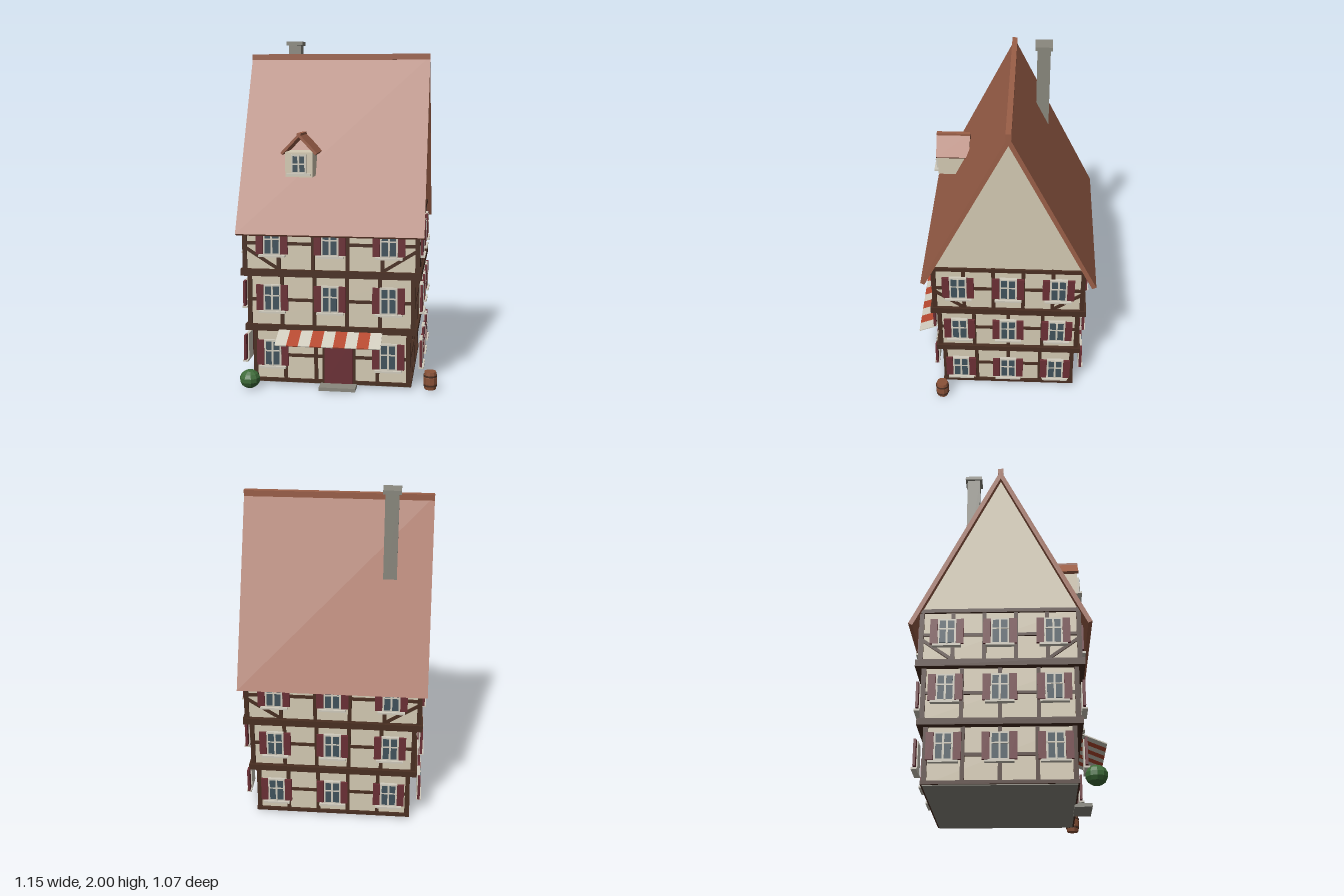
import * as THREE from 'three';

const mat = (name, color, extra = {}) =>
  Object.assign(new THREE.MeshStandardMaterial({ color, ...extra }), { name });

export function createModel() {
  const M = {
    plaster: mat('plaster', 0xd4cab3),
    timber: mat('dark timber', 0x4a2f22),
    tile: mat('roof tile', 0x9b5f48),
    stone: mat('grey stone', 0x8a887e),
    shutter: mat('dark red paint', 0x6b2f35),
    glass: mat('window glass', 0x40525c),
    trim: mat('pale trim', 0xd0cbbd),
    cloth: mat('awning red', 0xb5482f),
    leaf: mat('leaf green', 0x3d6b38, { flatShading: true }),
    barrel: mat('barrel wood', 0x8a5238, { flatShading: true }),
  };
  const model = new THREE.Group();
  model.name = 'timberedHouse';

  const add = (parent, name, geo, material, x = 0, y = 0, z = 0) => {
    const m = new THREE.Mesh(geo, material);
    m.name = name;
    m.position.set(x, y, z);
    parent.add(m);
    return m;
  };
  const box = (parent, name, material, w, h, d, x, y, z) =>
    add(parent, name, new THREE.BoxGeometry(w, h, d), material, x, y, z);
  const group = (parent, name, x = 0, y = 0, z = 0) => {
    const g = new THREE.Group();
    g.name = name;
    g.position.set(x, y, z);
    parent.add(g);
    return g;
  };
  // Extrudes a profile, centred along its depth
  const prism = (points, depth) => {
    const shape = new THREE.Shape(points.map(([x, y]) => new THREE.Vector2(x, y)));
    return new THREE.ExtrudeGeometry(shape, { depth, bevelEnabled: false }).translate(0, 0, -depth / 2);
  };
  // Bent roof slab: outer slope from eave to ridge, with vertical thickness t
  const chevron = (half, eaveY, ridgeY, dx, dy, t) => [
    [half, eaveY], [0, ridgeY], [-half, eaveY], [-half + dx, eaveY - dy], [0, ridgeY - t], [half - dx, eaveY - dy],
  ];

  // Window facing +z with its wall side at z = 0
  const addWindow = (parent, x, y, z, w = 0.1, h = 0.155, shutters = true) => {
    const g = group(parent, 'window', x, y, z);
    box(g, 'windowFrame', M.trim, w, h, 0.018, 0, 0, 0);
    box(g, 'windowGlass', M.glass, w - 0.02, h - 0.02, 0.004, 0, 0, 0.009);
    box(g, 'mullion', M.trim, 0.011, h - 0.01, 0.006, 0, 0, 0.011);
    box(g, 'transom', M.trim, w - 0.01, 0.008, 0.006, 0, shutters ? 0.015 : 0, 0.011);
    box(g, 'windowSill', M.trim, w * 1.55, 0.011, 0.03, 0, -h / 2 - 0.005, 0.007);
    if (shutters) for (const s of [-1, 1])
      box(g, 'shutter', M.shutter, 0.041, 0.148, 0.014, s * (w / 2 + 0.0215), 0.002, 0.005);
  };

  const house = group(model, 'house', -0.04, 0, -0.035);

  // Foundation and jettied storeys
  box(house, 'foundation', M.stone, 0.91, 0.014, 0.8, 0, 0.017, 0);
  const storeys = [
    { hx: 0.46, hz: 0.405, y0: 0.015, y1: 0.335, win: 0.2 },
    { hx: 0.486, hz: 0.424, y0: 0.36, y1: 0.66, win: 0.527 },
    { hx: 0.509, hz: 0.443, y0: 0.685, y1: 1.0, win: 0.855 },
  ];
  const beams = [[0.465, 0.41, 0.025, 0.02], [0.498, 0.438, 0.345, 0.036],
    [0.518, 0.457, 0.673, 0.04], [0.513, 0.447, 0.987, 0.022]];
  for (const [hx, hz, y, h] of beams)
    box(house, 'floorBeam', M.timber, hx * 2, h, hz * 2, 0, y, 0);

  storeys.forEach(({ hx, hz, y0, y1, win }, level) => {
    const h = y1 - y0, mid = (y0 + y1) / 2;
    box(house, 'plasterWall', M.plaster, hx * 2 - 0.02, h, hz * 2 - 0.02, 0, mid, 0);
    for (const sx of [-1, 1]) for (const sz of [-1, 1])
      box(house, 'cornerPost', M.timber, 0.026, h, 0.026, sx * (hx - 0.013), mid, sz * (hz - 0.013));

    // Timber framing and windows of the four sides
    for (let side = 0; side < 4; side++) {
      const wide = side % 2 === 0;
      const half = wide ? hx : hz, depth = wide ? hz : hx;
      const face = group(house, 'facade');
      face.rotation.y = side * Math.PI / 2;
      box(face, 'midRail', M.timber, half * 2 - 0.02, 0.018, 0.016, 0, mid, depth - 0.0095);
      const inner = half - 0.013;
      const bays = Math.round(inner * 2 / 0.19), bay = inner * 2 / bays;
      for (let i = 1; i < bays; i++)
        box(face, 'post', M.timber, 0.022, h, 0.016, -inner + i * bay, mid, depth - 0.009);
      if (level === 2) for (const s of [-1, 1]) {
        const rise = 0.125;
        const brace = box(face, 'brace', M.timber, Math.hypot(bay, rise), 0.018, 0.015,
          s * (inner - bay / 2), 0.755, depth - 0.0085);
        brace.rotation.z = s * Math.atan2(rise, bay);
      }
      const step = wide ? 0.335 : 0.29;
      for (const i of [-1, 0, 1])
        if (!(level === 0 && side === 0 && i === 0))
          addWindow(face, i * step, win, wide ? 0.446 : 0.512);
    }
  });

  // Attic gables, steep roof and ridge cap
  const gable = add(house, 'atticGable', prism([[-0.437, 0.995], [0.437, 0.995], [0, 1.875]], 1.0), M.plaster);
  gable.rotation.y = Math.PI / 2;
  const roof = add(house, 'mainRoof',
    prism(chevron(0.503, 0.903, 1.908, 0.023, 0.012, 0.057), 1.07), M.tile);
  roof.rotation.y = Math.PI / 2;
  box(house, 'ridgeCap', M.tile, 1.07, 0.035, 0.03, 0, 1.9025, 0);

  // Chimney
  box(model, 'chimneyShaft', M.stone, 0.076, 0.62, 0.076, -0.342, 1.67, -0.208);
  box(model, 'chimneyCap', M.stone, 0.1, 0.022, 0.1, -0.342, 1.989, -0.208);

  // Dormer
  const dormer = group(model, 'dormer', -0.215, 0, 0);
  box(dormer, 'dormerWall', M.plaster, 0.156, 0.14, 0.2, 0, 1.295, 0.31);
  add(dormer, 'dormerRoof', prism(chevron(0.104, 1.362, 1.47, 0.01, 0.012, 0.02), 0.198), M.tile, 0, 0, 0.318);
  box(dormer, 'dormerRidge', M.tile, 0.024, 0.014, 0.198, 0, 1.464, 0.318);
  addWindow(dormer, 0, 1.3, 0.414, 0.086, 0.108, false);

  // Door and step
  box(model, 'doorFrame', M.timber, 0.19, 0.275, 0.02, 0.005, 0.155, 0.368);
  box(model, 'door', M.shutter, 0.164, 0.262, 0.02, 0.005, 0.152, 0.374);
  box(model, 'doorStep', M.stone, 0.21, 0.02, 0.1, 0.005, 0.01, 0.41);

  // Striped awning
  const awning = group(model, 'awning', -0.04, 0.308, 0.47);
  awning.rotation.x = Math.atan2(0.055, 0.13);
  for (let i = 0; i < 9; i++)
    box(awning, 'awningStripe', i % 2 ? M.cloth : M.trim, 0.6 / 9, 0.006, 0.141, (i - 4) * 0.6 / 9, 0, 0);

  // Barrel with hoops
  const barrel = group(model, 'barrel', 0.534, 0.012, 0.372);
  const stave = [[0, 0], [0.034, 0], [0.04, 0.035], [0.04, 0.068], [0.034, 0.103], [0, 0.103]];
  add(barrel, 'barrelBody', new THREE.LatheGeometry(stave.map(([r, y]) => new THREE.Vector2(r, y)), 10), M.barrel);
  for (const y of [0.024, 0.079])
    add(barrel, 'barrelHoop', new THREE.CylinderGeometry(0.0405, 0.0405, 0.01, 10), M.timber, 0, y, 0);

  // Bush
  const bush = add(model, 'bush', new THREE.SphereGeometry(0.06, 10, 7), M.leaf, -0.502, 0.055, 0.46);
  bush.scale.y = 0.9;

  return model;
}
